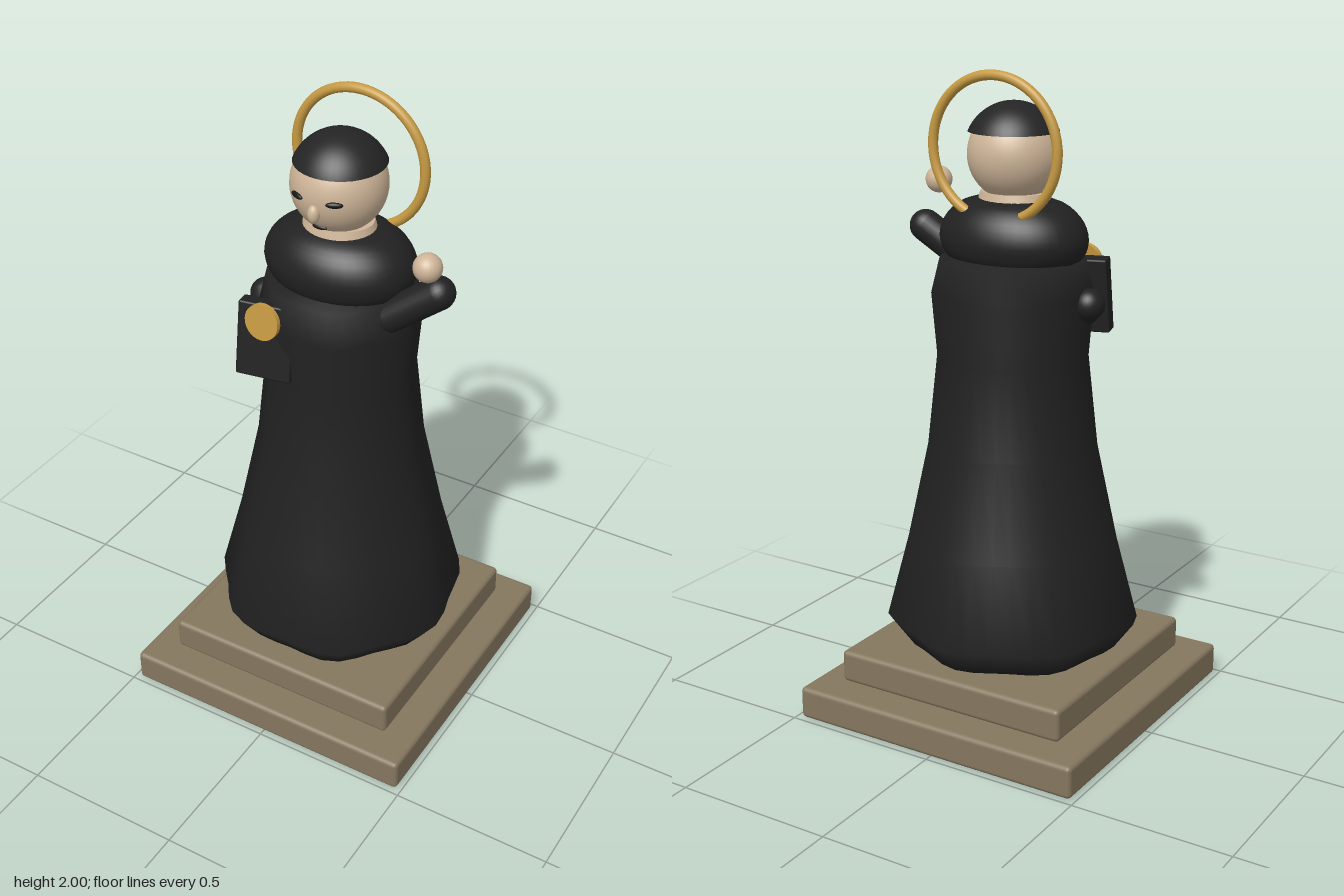
import * as THREE from 'three';
import { RoundedBoxGeometry } from 'three/addons/geometries/RoundedBoxGeometry.js';

function material(name, color) {
  const m = new THREE.MeshStandardMaterial({ color });
  m.name = name;
  return m;
}

export function createModel() {
  const model = new THREE.Group();
  model.name = 'statue';
  const stone = material('stone', 0x85775f);
  const cloth = material('black cloth', 0x212121);
  const skin = material('skin', 0xceb598);
  const hairDark = material('dark hair', 0x242424);
  const gold = material('gold', 0xc69a42);
  const ink = material('eye black', 0x151515);

  function add(name, geometry, mat, x = 0, y = 0, z = 0, parent = model) {
    const mesh = new THREE.Mesh(geometry, mat);
    mesh.name = name;
    mesh.position.set(x, y, z);
    parent.add(mesh);
    return mesh;
  }
  const lathe = (points, segments) =>
    new THREE.LatheGeometry(points.map(([r, y]) => new THREE.Vector2(r, y)), segments);

  // Stepped plinth
  add('lowerPlinth', new RoundedBoxGeometry(0.97, 0.103, 0.97, 3, 0.015), stone, 0, 0.0515, 0);
  add('upperPlinth', new RoundedBoxGeometry(0.78, 0.103, 0.78, 3, 0.015), stone, 0, 0.162, 0);

  // Flared robe with seven soft folds
  const robe = lathe([
    [0, 0.22], [0.325, 0.225], [0.385, 0.31], [0.318, 0.57], [0.255, 0.87],
    [0.225, 1.15], [0.24, 1.34], [0.215, 1.445], [0, 1.445],
  ], 36);
  const p = robe.attributes.position;
  for (let i = 0; i < p.count; i++) {
    const x = p.getX(i), z = p.getZ(i);
    const fold = 1 + 0.035 * Math.cos(7 * Math.atan2(x, -z));
    p.setX(i, x * fold);
    p.setZ(i, z * fold);
  }
  add('robe', robe, cloth);

  // Rounded shoulder cape
  const profile = new THREE.SplineCurve([
    [0.19, 1.425], [0.223, 1.455], [0.236, 1.505], [0.215, 1.56], [0.165, 1.602], [0.1, 1.62],
  ].map(([r, y]) => new THREE.Vector2(r, y))).getPoints(16);
  const cape = add('shoulderCape',
    new THREE.LatheGeometry([...profile, new THREE.Vector2(0, 1.62)], 40), cloth);
  cape.scale.z = 0.76;

  // Neck and head
  const neck = add('neck', new THREE.CylinderGeometry(0.105, 0.12, 0.05, 32), skin, 0, 1.613, 0.005);
  neck.scale.z = 0.85;
  const head = new THREE.Group();
  head.name = 'head';
  head.position.set(0, 1.748, 0.007);
  model.add(head);
  add('face', new THREE.SphereGeometry(0.141, 40, 28), skin, 0, 0, 0, head);
  const capAngle = Math.acos(0.06 / 0.148);
  add('hairCap', new THREE.SphereGeometry(0.148, 40, 14, 0, Math.PI * 2, 0, capAngle),
    hairDark, 0, 0.007, -0.006, head);
  // Flat underside of the hair
  const rim = add('hairRim', new THREE.CircleGeometry(0.135, 40), hairDark, 0, 0.067, -0.006, head);
  rim.rotation.x = Math.PI / 2;

  // Facial features
  const ball = new THREE.SphereGeometry(1, 20, 14);
  for (const side of [1, -1]) {
    const eye = add(side > 0 ? 'leftEye' : 'rightEye', ball, ink, side * 0.06, 0, 0.128, head);
    eye.scale.set(0.025, 0.009, 0.008);
    eye.rotation.y = side * 0.44;
  }
  add('nose', ball, skin, 0, -0.038, 0.139, head).scale.set(0.018, 0.028, 0.018);
  add('mouth', ball, ink, 0, -0.093, 0.107, head).scale.set(0.024, 0.007, 0.007);

  // Halo
  add('halo', new THREE.TorusGeometry(0.211, 0.015, 14, 64), gold, 0, 1.774, -0.108);

  // Sleeves as capsules between two joints
  function sleeve(name, from, to, radius) {
    const a = new THREE.Vector3(...from), b = new THREE.Vector3(...to);
    const dir = b.clone().sub(a);
    const mid = a.add(b).multiplyScalar(0.5);
    const mesh = add(name, new THREE.CapsuleGeometry(radius, dir.length(), 8, 24), cloth,
      mid.x, mid.y, mid.z);
    mesh.quaternion.setFromUnitVectors(new THREE.Vector3(0, 1, 0), dir.normalize());
  }
  sleeve('leftSleeve', [0.2, 1.4, 0.06], [0.333, 1.497, 0.025], 0.05);
  sleeve('rightSleeve', [-0.245, 1.32, 0.025], [-0.1, 1.21, 0.165], 0.048);
  const hand = new THREE.SphereGeometry(0.042, 24, 18);
  add('leftHand', hand, skin, 0.343, 1.627, 0.115);
  add('rightHand', hand, skin, -0.108, 1.355, 0.2);

  // Tilted book
  const book = add('book', new RoundedBoxGeometry(0.17, 0.235, 0.05, 2, 0.006), cloth,
    -0.12, 1.3, 0.215);
  book.rotation.set(-0.13, 0.2, 0);

  // Gold medallion
  const medallion = add('medallion', new THREE.CylinderGeometry(0.055, 0.055, 0.016, 32), gold,
    -0.1, 1.393, 0.266);
  medallion.rotation.x = Math.PI / 2 - 0.14;

  return model;
}
